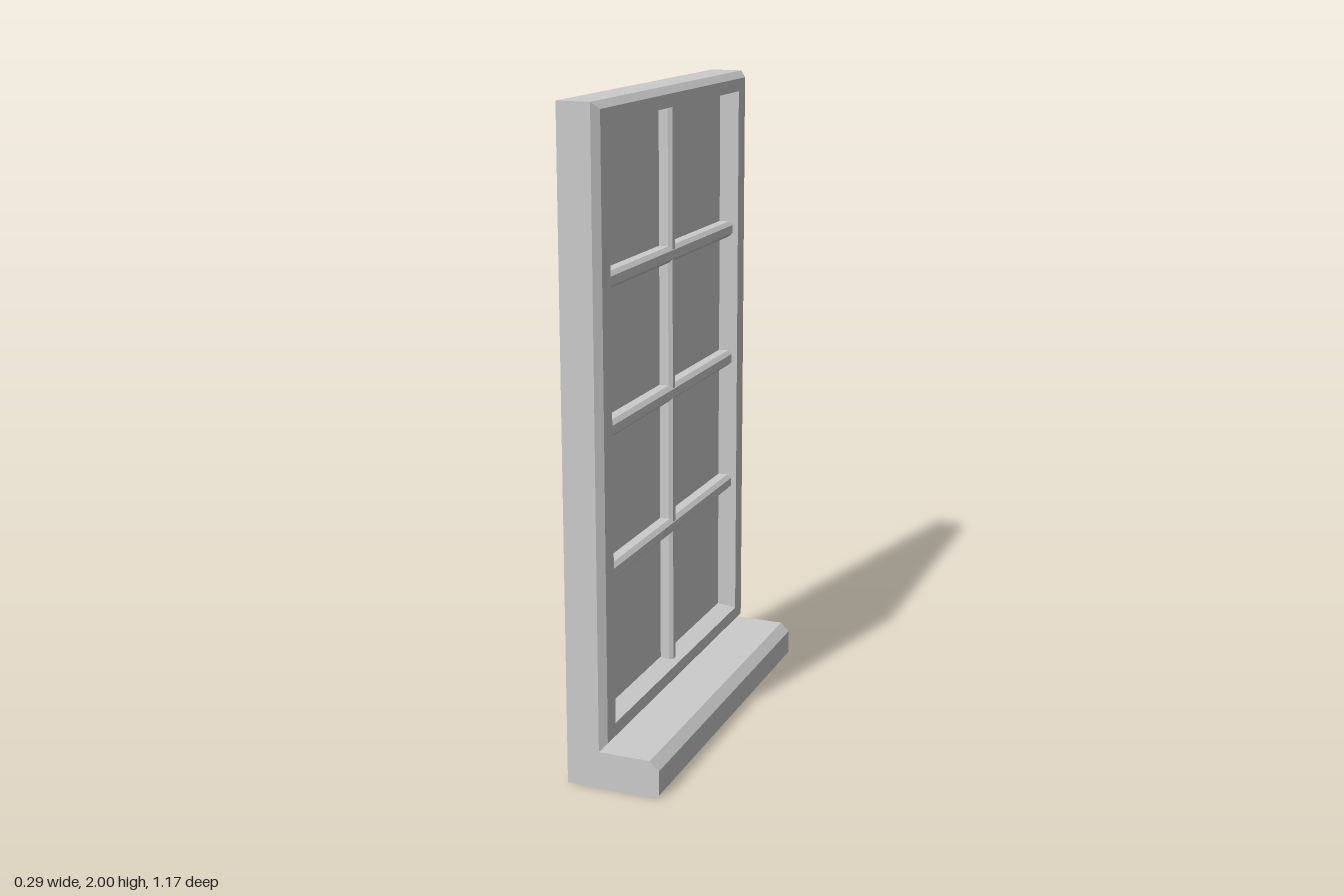
import * as THREE from 'three';

const BACK = -0.147, GLASS = -0.085;

// Skin of flat quads through rectangular rings [x, half width in z, bottom y, top y]
function loftRings(rings) {
  const pos = [];
  const corners = rings.map(([x, w, y0, y1]) => [[x, y0, w], [x, y0, -w], [x, y1, -w], [x, y1, w]]);
  const quad = (a, b, c, d) => pos.push(...a, ...b, ...c, ...a, ...c, ...d);
  for (let i = 0; i < corners.length - 1; i++) {
    for (let k = 0; k < 4; k++) {
      const n = (k + 1) % 4;
      quad(corners[i][k], corners[i][n], corners[i + 1][n], corners[i + 1][k]);
    }
  }
  const [a, b, c, d] = corners[0];
  quad(d, c, b, a); // flat back
  const g = new THREE.BufferGeometry();
  g.setAttribute('position', new THREE.Float32BufferAttribute(pos, 3));
  g.computeVertexNormals();
  return g;
}

// Profile in x/y, extruded along z and centred
function extrudeZ(points, length) {
  const shape = new THREE.Shape(points.map(([x, y]) => new THREE.Vector2(x, y)));
  return new THREE.ExtrudeGeometry(shape, { depth: length, bevelEnabled: false })
    .translate(0, 0, -length / 2);
}

// Glazing bar section: wide at the glass, narrower at the front
const barSection = (base, face, front) => [
  [GLASS, -base], [front - 0.012, -base], [front, -face],
  [front, face], [front - 0.012, base], [GLASS, base],
];

export function createModel() {
  const group = new THREE.Group();
  const material = new THREE.MeshStandardMaterial({ color: 0xcccccc, flatShading: true });
  const add = (name, geometry, x = 0, y = 0, z = 0) => {
    const mesh = new THREE.Mesh(geometry, material);
    mesh.name = name;
    mesh.position.set(x, y, z);
    group.add(mesh);
  };

  // Frame with bevelled outer edge and recessed opening
  add('frame', loftRings([
    [BACK, 0.585, 0.115, 2],
    [-0.045, 0.585, 0.115, 2],
    [-0.025, 0.565, 0.137, 1.98],
    [-0.025, 0.508, 0.178, 1.94],
    [GLASS, 0.498, 0.19, 1.93],
  ]));

  // Glass pane closing the opening
  add('glass', new THREE.PlaneGeometry(0.996, 1.74).rotateY(Math.PI / 2), GLASS, 1.06, 0);

  // Sill with chamfered front edge
  add('sill', extrudeZ([
    [BACK, 0], [0.137, 0], [0.145, 0.01], [0.145, 0.087], [0.117, 0.115], [BACK, 0.115],
  ], 1.17));

  // Glazing bars
  const crossBar = extrudeZ(barSection(0.025, 0.013, -0.042), 1.006);
  [0.632, 1.063, 1.495].forEach((y, i) => add('crossBar' + (i + 1), crossBar, 0, y, 0));
  const upright = extrudeZ(barSection(0.016, 0.009, -0.044), 1.75).rotateX(-Math.PI / 2);
  add('uprightBar', upright, 0, 1.06, 0);

  return group;
}
